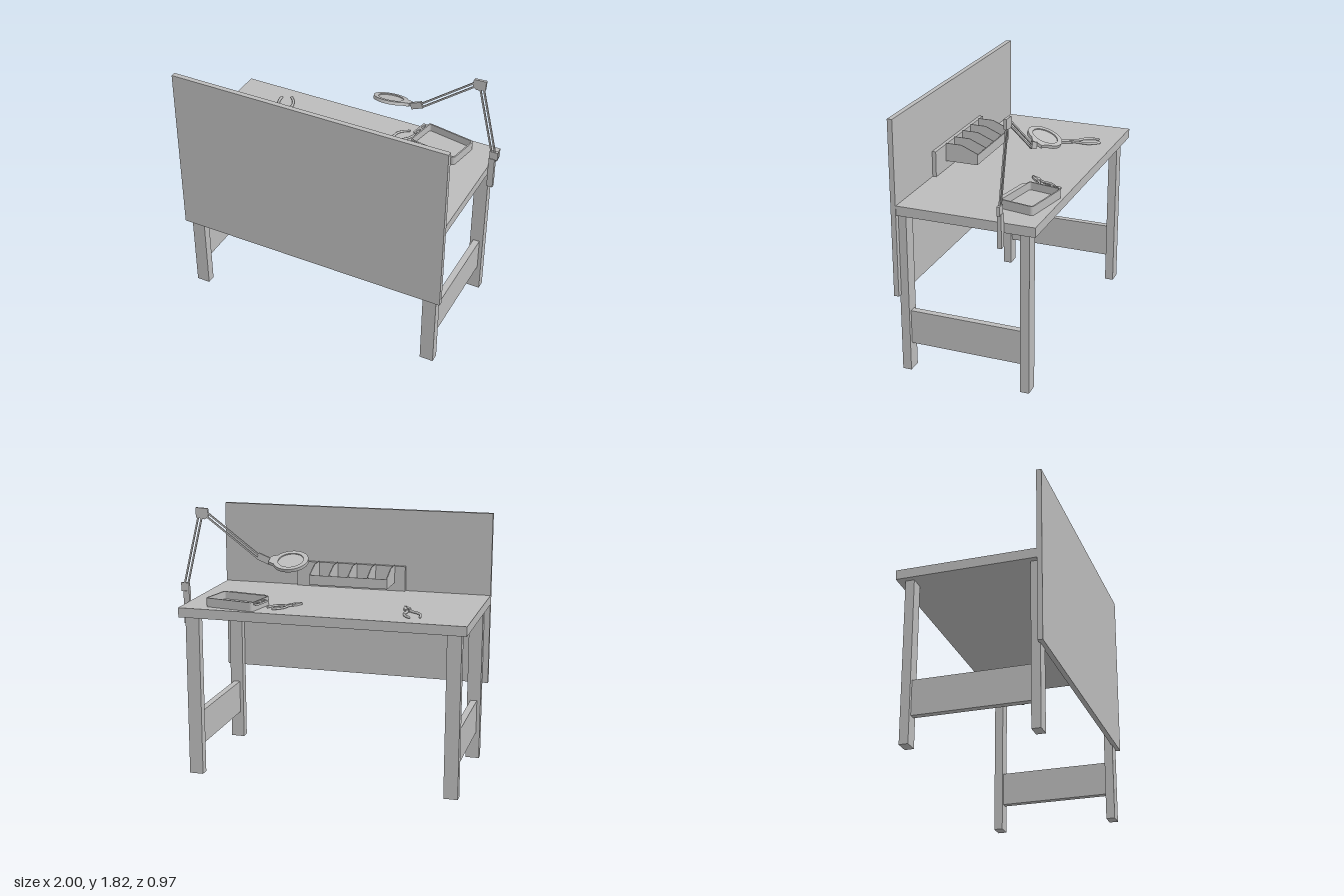
import * as THREE from 'three';

const grey = new THREE.MeshStandardMaterial({ color: 0xbcbcbc });
grey.name = 'plain grey';

function add(parent, name, geometry) {
  const mesh = new THREE.Mesh(geometry, grey);
  mesh.name = name;
  parent.add(mesh);
  return mesh;
}

// Box given by its limits on each axis
function box(parent, name, x0, x1, y0, y1, z0, z1) {
  const mesh = add(parent, name, new THREE.BoxGeometry(x1 - x0, y1 - y0, z1 - z0));
  mesh.position.set((x0 + x1) / 2, (y0 + y1) / 2, (z0 + z1) / 2);
  return mesh;
}

// Bar lying in the x-y plane between two points
function bar(parent, name, a, b, offset, thick, depth, z) {
  const dx = b[0] - a[0], dy = b[1] - a[1], len = Math.hypot(dx, dy);
  const mesh = add(parent, name, new THREE.BoxGeometry(len, thick, depth));
  mesh.position.set((a[0] + b[0]) / 2 - dy / len * offset, (a[1] + b[1]) / 2 + dx / len * offset, z);
  mesh.rotation.z = Math.atan2(dy, dx);
}

function polygon(points) {
  return new THREE.Shape(points.map(p => new THREE.Vector2(p[0], p[1])));
}

function roundedRect(w, h, r, T = THREE.Shape) {
  const s = new T(), x = w / 2, y = h / 2;
  s.absarc(x - r, y - r, r, 0, Math.PI / 2);
  s.absarc(-x + r, y - r, r, Math.PI / 2, Math.PI);
  s.absarc(-x + r, -y + r, r, Math.PI, Math.PI * 1.5);
  s.absarc(x - r, -y + r, r, Math.PI * 1.5, Math.PI * 2);
  s.closePath();
  return s;
}

// Flat plate lying on y = 0, shape y pointing to -z
function plate(shape, depth) {
  const g = new THREE.ExtrudeGeometry(shape, { depth, bevelEnabled: false, curveSegments: 20 });
  return g.rotateX(-Math.PI / 2);
}

function createTable() {
  const g = new THREE.Group();
  g.name = 'table';
  box(g, 'tableTop', -1, 0.935, 1.11, 1.175, -0.48, 0.453);
  box(g, 'backPanel', -1, 0.94, 0.545, 1.745, 0.453, 0.487);
  for (const x of [-0.96, 0.81]) {
    box(g, 'frontLeg', x, x + 0.095, 0, 1.11, 0.4, 0.46);
    box(g, 'rearLeg', x, x + 0.095, 0, 1.11, -0.43, -0.37);
    box(g, 'sideRail', x + 0.025, x + 0.07, 0.19, 0.425, -0.37, 0.4);
  }
  return g;
}

function createBins() {
  const g = new THREE.Group();
  g.name = 'binRack';
  box(g, 'rackBoard', -0.4, 0.39, 1.175, 1.35, 0.427, 0.453);
  box(g, 'binFloor', -0.325, 0.23, 1.232, 1.24, 0.2, 0.427);
  box(g, 'binLip', -0.325, 0.23, 1.232, 1.3, 0.2, 0.207);
  // Sloped dividers; shape x is -z after the turn
  const profile = polygon([[-0.427, 1.232], [-0.2, 1.232], [-0.2, 1.31], [-0.315, 1.358], [-0.427, 1.358]]);
  const geometry = new THREE.ExtrudeGeometry(profile, { depth: 0.006, bevelEnabled: false });
  geometry.rotateY(Math.PI / 2);
  for (let i = 0; i < 5; i++) {
    add(g, 'binDivider', geometry).position.x = -0.325 + i * 0.1373;
  }
  return g;
}

function createLamp() {
  const g = new THREE.Group(), z = -0.262;
  g.name = 'magnifierLamp';
  box(g, 'clampPost', 0.937, 0.978, 1.02, 1.245, z - 0.014, z + 0.014);
  box(g, 'baseJoint', 0.938, 0.995, 1.24, 1.3, z - 0.01, z + 0.01);
  // Each arm is a pair of parallel bars
  for (const side of [-1, 1]) {
    bar(g, 'lowerArm', [0.963, 1.28], [0.845, 1.77], side * 0.012, 0.011, 0.009, z);
    bar(g, 'upperArm', [0.82, 1.785], [0.43, 1.495], side * 0.012, 0.011, 0.009, z);
  }
  add(g, 'elbowJoint', new THREE.ExtrudeGeometry(
    polygon([[0.79, 1.755], [0.815, 1.738], [0.875, 1.75], [0.878, 1.815], [0.797, 1.812], [0.79, 1.8]]),
    { depth: 0.018, bevelEnabled: false })).position.z = z - 0.009;
  bar(g, 'headJoint', [0.365, 1.478], [0.445, 1.51], 0, 0.045, 0.018, z);

  // Tilted ring with its mounting tab and lens
  const head = new THREE.Group();
  head.name = 'lampHead';
  head.position.set(0.215, 1.485, -0.268);
  head.rotation.x = -0.37;
  const outline = new THREE.Shape();
  outline.absarc(0, 0, 0.117, 0.5, Math.PI * 2 - 0.5);
  outline.lineTo(0.145, -0.035);
  outline.lineTo(0.145, 0.035);
  outline.closePath();
  const hole = new THREE.Path();
  hole.absarc(0, 0, 0.085, 0, Math.PI * 2, true);
  outline.holes.push(hole);
  add(head, 'lensRing', plate(outline, 0.022)).position.y = -0.011;
  add(head, 'lens', new THREE.CylinderGeometry(0.086, 0.086, 0.008, 40));
  g.add(head);
  return g;
}

function createTray() {
  const g = new THREE.Group();
  g.name = 'tray';
  g.position.set(0.575, 1.175, -0.313);
  g.rotation.y = -0.182;
  const wall = roundedRect(0.355, 0.24, 0.02);
  wall.holes.push(roundedRect(0.335, 0.22, 0.012, THREE.Path));
  add(g, 'trayWall', plate(wall, 0.06));
  add(g, 'trayFloor', plate(roundedRect(0.35, 0.235, 0.02), 0.008));
  // Slotted grip on the short side, plain lip on the long side
  const grip = roundedRect(0.04, 0.13, 0.01);
  for (const y of [-0.03, 0.03]) {
    const slot = roundedRect(0.016, 0.042, 0.007, THREE.Path);
    slot.curves.forEach(c => { c.aY !== undefined ? c.aY += y : (c.v1.y += y, c.v2.y += y); });
    grip.holes.push(slot);
  }
  add(g, 'trayGrip', plate(grip, 0.012)).position.set(-0.193, 0.042, -0.035);
  box(g, 'trayLip', -0.135, 0.14, 0.044, 0.058, 0.118, 0.143);
  return g;
}

function createPliers(x, z, turn, size) {
  const g = new THREE.Group();
  g.name = 'pliers';
  g.position.set(x, 1.175, z);
  g.rotation.y = turn;
  g.scale.setScalar(size);
  for (const s of [-1, 1]) {
    // Curved grip
    const curve = new THREE.CatmullRomCurve3([[0.008, 0.01], [0.018, -0.04], [0.048, -0.095], [0.05, -0.15], [0.036, -0.195]]
      .map(p => new THREE.Vector3(s * p[0], 0.011, p[1])));
    add(g, 'plierHandle', new THREE.TubeGeometry(curve, 20, 0.009, 8, false));
    const end = add(g, 'handleEnd', new THREE.SphereGeometry(0.009, 8, 6));
    end.position.set(s * 0.036, 0.011, -0.195);
    // Tapered jaw
    const jaw = [[s * 0.002, 0.015], [s * 0.022, 0], [s * 0.024, -0.035], [s * 0.008, -0.1], [s * 0.002, -0.1]];
    add(g, 'plierJaw', plate(polygon(jaw), 0.016)).position.y = 0.003;
  }
  add(g, 'plierPivot', new THREE.CylinderGeometry(0.013, 0.013, 0.022, 16)).position.y = 0.011;
  return g;
}

export function createModel() {
  const model = new THREE.Group();
  model.name = 'workbench';
  model.add(
    createTable(), createBins(), createLamp(), createTray(),
    createPliers(-0.56, -0.185, 0.42, 1),
    createPliers(0.225, -0.235, -0.7, 0.85),
  );
  return model;
}
